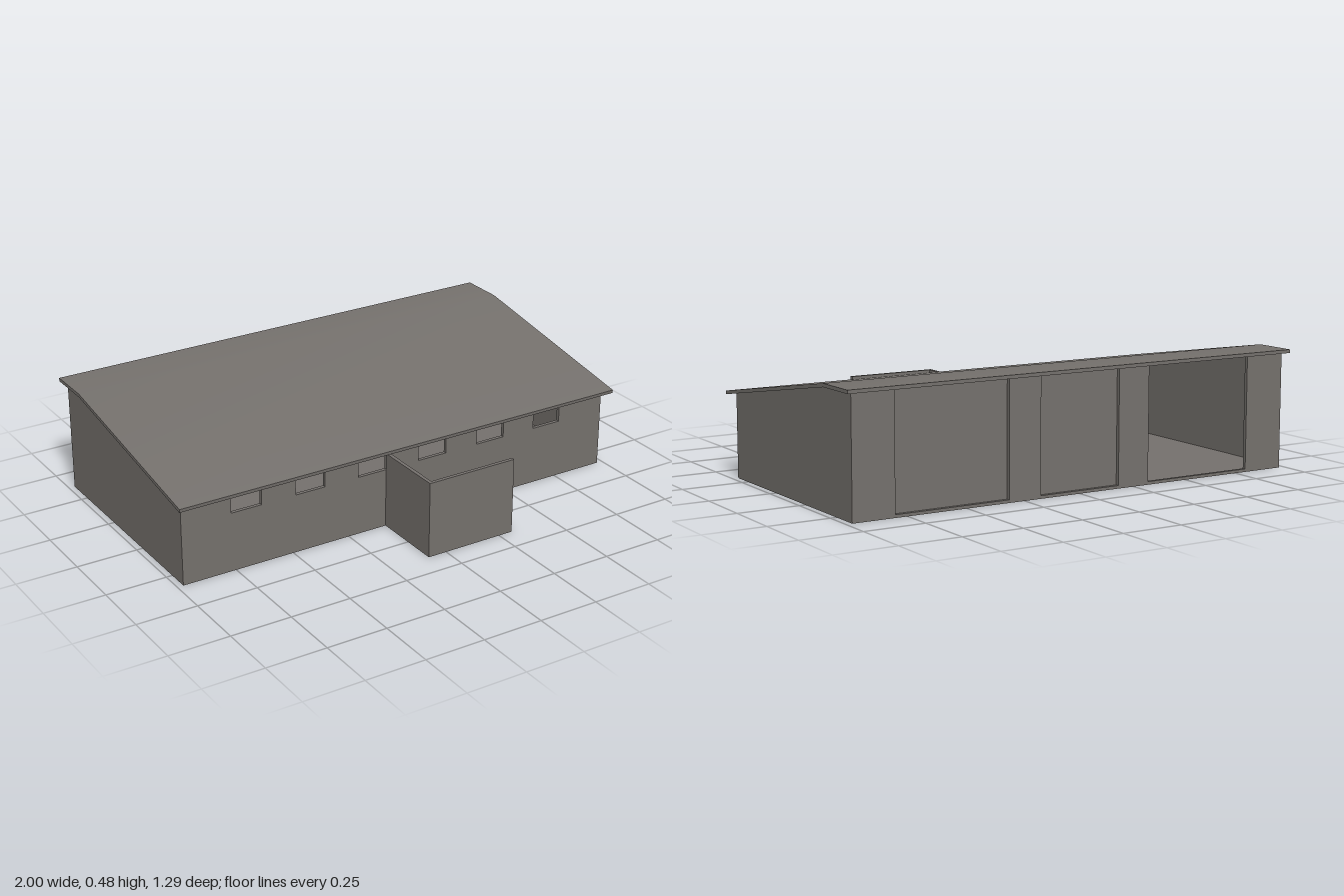
import * as THREE from 'three';
import { toCreasedNormals } from 'three/addons/utils/BufferGeometryUtils.js';

export function createModel() {
  const group = new THREE.Group();
  group.name = 'shelterBuilding';
  const concrete = new THREE.MeshStandardMaterial({ color: 0x75716d });
  concrete.name = 'concrete';

  const T = 0.015; // wall thickness
  const HALF = 0.975, FRONT = 0.34, BACK = -0.62;

  const add = (name, geometry) => {
    const mesh = new THREE.Mesh(geometry, concrete);
    mesh.name = name;
    group.add(mesh);
    return mesh;
  };
  // Box given by its limits on each axis
  const box = (name, x0, x1, y0, y1, z0, z1) => {
    const g = new THREE.BoxGeometry(x1 - x0, y1 - y0, z1 - z0);
    g.translate((x0 + x1) / 2, (y0 + y1) / 2, (z0 + z1) / 2);
    return add(name, g);
  };
  // Profile of [z, y] points extruded along x
  const extrudeX = (profile, x0, x1) => {
    const shape = new THREE.Shape(profile.map(([z, y]) => new THREE.Vector2(z, y)));
    const g = new THREE.ExtrudeGeometry(shape, { depth: x1 - x0, bevelEnabled: false });
    g.rotateY(-Math.PI / 2);
    g.translate(x1, 0, 0);
    return g;
  };

  // Roof: long slope with a short flat at the back, softly shaded over the bend
  const roof = extrudeX([
    [0.383, 0.331], [0.385, 0.345], [-0.457, 0.483], [-0.643, 0.483],
    [-0.643, 0.469], [-0.457, 0.469],
  ], -1, 1);
  add('roof', toCreasedNormals(roof, 0.5));

  // End walls follow the roof line
  const endProfile = [[FRONT, 0], [FRONT, 0.338], [-0.457, 0.469], [BACK, 0.469], [BACK, 0]];
  add('rightEndWall', extrudeX(endProfile, -HALF, -HALF + T));
  add('leftEndWall', extrudeX(endProfile, HALF - T, HALF));

  // Floor slab
  box('floor', -HALF + T, HALF - T, 0, 0.01, BACK + T, FRONT - T);

  // Front wall with six window openings
  const front = new THREE.Shape([
    [-HALF + T, 0], [HALF - T, 0], [HALF - T, 0.338], [-HALF + T, 0.338],
  ].map(([x, y]) => new THREE.Vector2(x, y)));
  for (let i = 0; i < 6; i++) {
    const x = -0.765 + i * 0.279, w = 0.13;
    front.holes.push(new THREE.Path([
      [x, 0.245], [x, 0.315], [x + w, 0.315], [x + w, 0.245],
    ].map(([px, py]) => new THREE.Vector2(px, py))));
  }
  const frontGeometry = new THREE.ExtrudeGeometry(front, { depth: T, bevelEnabled: false });
  frontGeometry.translate(0, 0, FRONT - T);
  add('frontWall', frontGeometry);

  // Back wall: corner piers, two posts and a low sill
  const piers = [[-HALF + T, -0.8], [-0.318, -0.178], [0.178, 0.318], [0.8, HALF - T]];
  piers.forEach(([x0, x1], i) => box('backPier' + (i + 1), x0, x1, 0, 0.469, BACK, BACK + T));
  const bays = [[-0.8, -0.318], [-0.178, 0.178], [0.318, 0.8]];
  bays.forEach(([x0, x1], i) => box('backSill' + (i + 1), x0, x1, 0, 0.012, BACK, BACK + T));

  // Recessed panels close two of the three bays
  box('middleBackPanel', -0.2, 0.2, 0.01, 0.469, BACK + T, BACK + 2 * T);
  box('leftBackPanel', 0.3, 0.82, 0.01, 0.469, BACK + T, BACK + 2 * T);

  // L-shaped screen wall in front of the entrance
  box('screenSideWall', -0.08, -0.065, 0, 0.315, FRONT, 0.63);
  box('screenFrontWall', -0.08, 0.31, 0, 0.315, 0.63, 0.645);

  return group;
}
